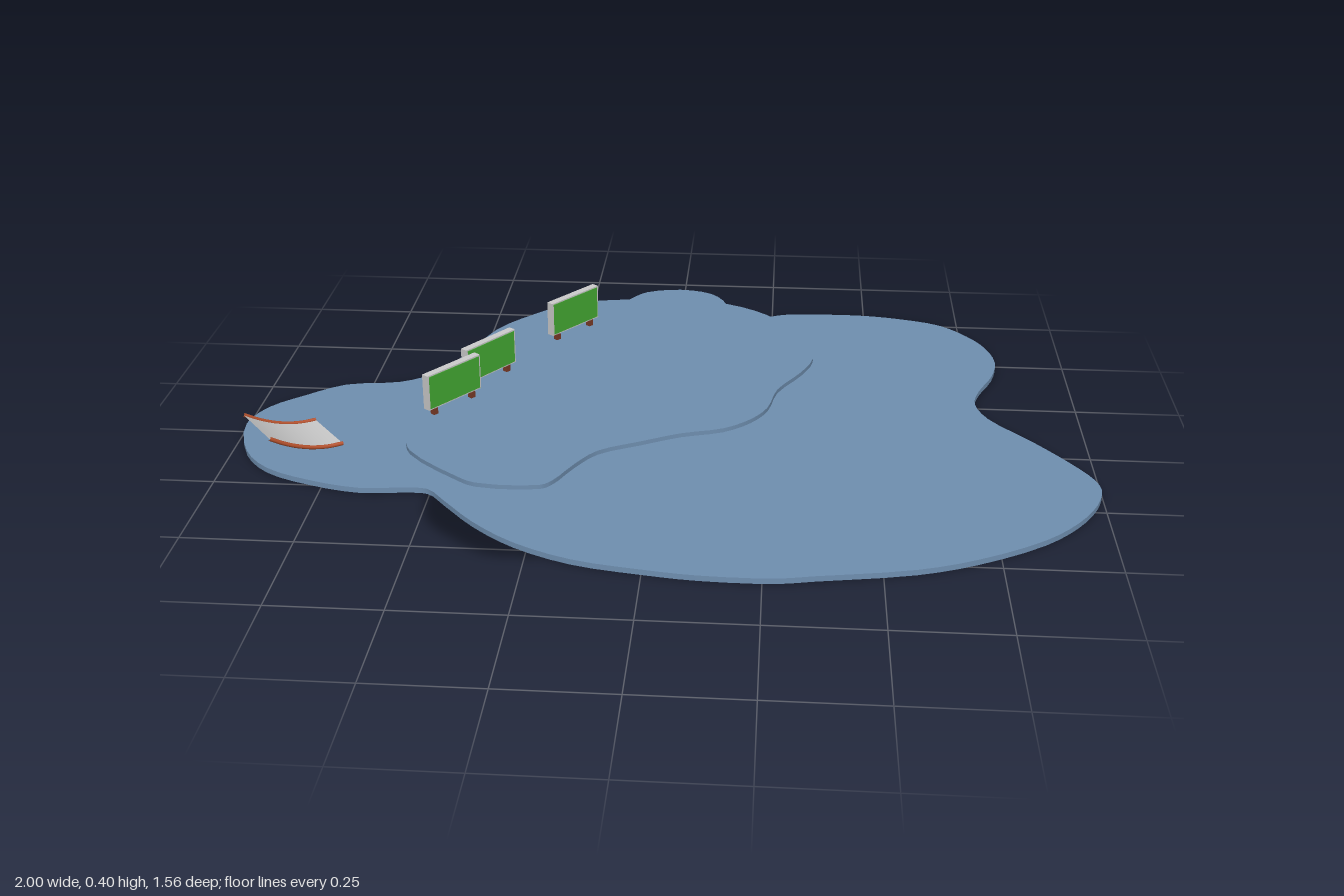
import * as THREE from 'three';
import { toCreasedNormals } from 'three/addons/utils/BufferGeometryUtils.js';

const mat = (color, side = THREE.FrontSide) => new THREE.MeshStandardMaterial({ color, side });
const blue = mat(0x6f8fb0), green = mat(0x44aa33), brown = mat(0x7a3a26);
const orange = mat(0xb8532e), grey = mat(0xcccccc), sheet = mat(0xcccccc, THREE.DoubleSide);

// Outlines as [x, z] points, smoothed by a closed curve
const MAIN = [[-1, -0.02], [-0.97, -0.11], [-0.9, -0.18], [-0.81, -0.25], [-0.68, -0.275], [-0.6, -0.33],
  [-0.5, -0.46], [-0.39, -0.56], [-0.27, -0.613], [0, -0.615], [0.09, -0.63], [0.15, -0.67], [0.22, -0.74],
  [0.28, -0.773], [0.37, -0.782], [0.5, -0.782], [0.6, -0.765], [0.7, -0.73], [0.77, -0.66], [0.81, -0.59],
  [0.828, -0.5], [0.81, -0.41], [0.77, -0.32], [0.755, -0.25], [0.78, -0.17], [0.87, -0.06], [0.95, 0.05],
  [0.99, 0.12], [1, 0.17], [0.98, 0.24], [0.93, 0.32], [0.85, 0.4], [0.7, 0.49], [0.57, 0.54], [0.36, 0.58],
  [0.28, 0.595], [0.12, 0.595], [0, 0.58], [-0.15, 0.55], [-0.28, 0.49], [-0.38, 0.41], [-0.46, 0.32],
  [-0.505, 0.272], [-0.56, 0.27], [-0.66, 0.278], [-0.78, 0.25], [-0.89, 0.2], [-0.96, 0.12]];
const UPPER = [[-0.482, 0.37], [-0.457, 0.31], [-0.37, 0.05], [-0.3, -0.04], [-0.22, -0.11], [-0.115, -0.142],
  [0.08, -0.15], [0.18, -0.12], [0.265, -0.05], [0.3, 0.03], [0.34, 0.11], [0.345, 0.16], [0.32, 0.23],
  [0.27, 0.32], [0.25, 0.41], [0.217, 0.465], [0.163, 0.51], [0.08, 0.538], [0, 0.58], [-0.08, 0.625],
  [-0.12, 0.685], [-0.155, 0.755], [-0.175, 0.772], [-0.3, 0.772], [-0.345, 0.745], [-0.45, 0.65],
  [-0.47, 0.59], [-0.484, 0.455]];
const MIDDLE = [[-0.1, -0.44], [-0.07, -0.475], [0.015, -0.498], [0.095, -0.475], [0.135, -0.41], [0.13, -0.33],
  [0.095, -0.28], [0.065, -0.245], [0.025, -0.253], [-0.055, -0.23], [-0.1, -0.245], [-0.13, -0.31], [-0.135, -0.375]];
const SMALL = [[0.147, -0.26], [0.185, -0.3], [0.215, -0.317], [0.27, -0.305], [0.29, -0.257], [0.27, -0.22],
  [0.23, -0.197], [0.185, -0.225]];

// Thin flat island; its upper face lies at y = top
function island(name, outline, top, depth) {
  const curve = new THREE.CatmullRomCurve3(outline.map(([x, z]) => new THREE.Vector3(x, z, 0)), true);
  const pts = curve.getPoints(outline.length * 3).slice(0, -1).map(p => new THREE.Vector2(p.x, p.y));
  const geo = new THREE.ExtrudeGeometry(new THREE.Shape(pts), { depth, bevelEnabled: false });
  geo.rotateX(Math.PI / 2);
  const mesh = new THREE.Mesh(toCreasedNormals(geo, 0.6), blue);
  mesh.name = name;
  mesh.position.y = top;
  return mesh;
}

function box(name, w, h, d, x, y, z, material) {
  const mesh = new THREE.Mesh(new THREE.BoxGeometry(w, h, d), material);
  mesh.name = name;
  mesh.position.set(x, y, z);
  return mesh;
}

// Billboard on two short legs, coloured face towards local +z
function billboard(x, y, z, angle) {
  const g = new THREE.Group();
  g.name = 'billboard';
  g.add(box('panel', 0.145, 0.077, 0.016, 0, 0.0545, 0, grey));
  g.add(box('panelFace', 0.137, 0.071, 0.002, 0, 0.0545, 0.0085, green));
  for (const s of [-1, 1]) g.add(box('leg', 0.011, 0.018, 0.011, s * 0.052, 0.008, 0, brown));
  g.position.set(x, y, z);
  g.rotation.y = angle;
  return g;
}

// Curved ramp: local +x runs downhill, local z across
function ramp() {
  const g = new THREE.Group();
  g.name = 'ramp';
  const length = 0.178, width = 0.15;
  const profile = t => new THREE.Vector3((t - 0.5) * length, 0.004 + 0.064 * (1 - t) ** 2, 0);
  const deck = new THREE.PlaneGeometry(length, width, 12, 1).rotateX(-Math.PI / 2);
  const pos = deck.attributes.position;
  for (let i = 0; i < pos.count; i++) pos.setY(i, profile(pos.getX(i) / length + 0.5).y);
  deck.computeVertexNormals();
  const deckMesh = new THREE.Mesh(deck, sheet);
  deckMesh.name = 'rampDeck';
  g.add(deckMesh);
  // Edge rails following the deck
  const path = new THREE.CatmullRomCurve3([0, 0.2, 0.4, 0.6, 0.8, 1].map(profile));
  for (const s of [-1, 1]) {
    const rail = new THREE.Mesh(new THREE.TubeGeometry(path, 16, 0.005, 8), orange);
    rail.name = 'rampRail';
    rail.position.z = s * width / 2;
    g.add(rail);
  }
  g.position.set(-0.86, 0.013, 0.072);
  g.rotation.y = 0.68;
  return g;
}

export function createModel() {
  const model = new THREE.Group();
  model.name = 'islands';
  model.add(
    island('mainIsland', MAIN, 0.013, 0.013),
    island('upperIsland', UPPER, 0.31, 0.009),
    island('middleIsland', MIDDLE, 0.193, 0.008),
    island('smallIsland', SMALL, 0.157, 0.007),
    ramp());
  const signs = [[-0.4, 0.31, 0.444, 0.92], [-0.345, 0.31, 0.311, 0.95], [-0.195, 0.31, 0.052, 0.91],
    [-0.3, 0.013, -0.213, Math.PI + 0.27], [-0.455, 0.013, -0.046, Math.PI + 0.29]];
  for (const s of signs) model.add(billboard(...s));
  return model;
}
